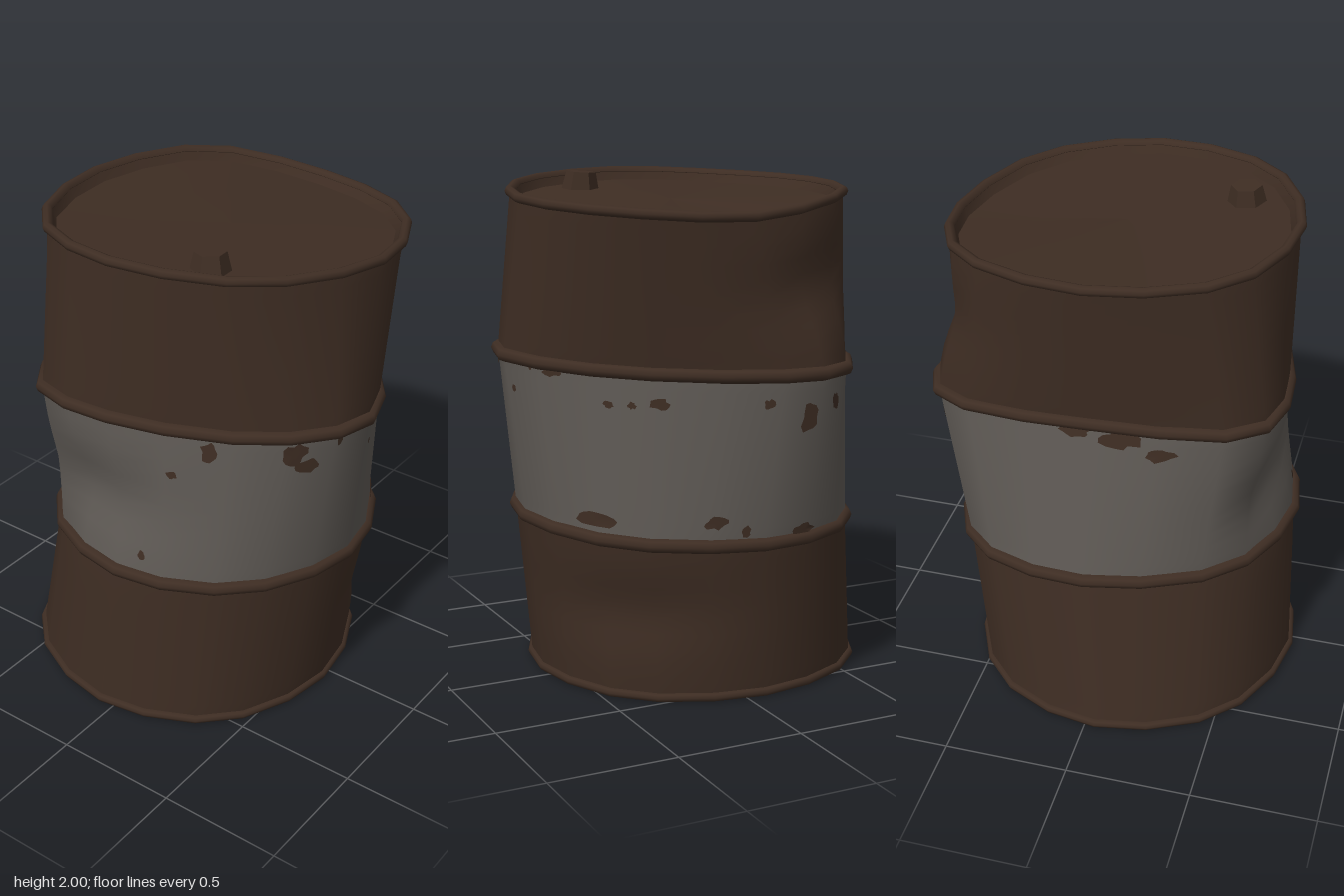
import * as THREE from 'three';
import { mergeGeometries } from 'three/addons/utils/BufferGeometryUtils.js';

const SIDES = 20;
const BASE = 0.018, LOWER = 0.657, UPPER = 1.305, TOP = 1.93;

// bent drum outline at four levels, in eight directions from the left side
// through the front: reach of the wall, and height of the edge
const LEVELS = [
  [BASE, [0.602, 0.582, 0.587, 0.662, 0.712, 0.749, 0.737, 0.689], Array(8).fill(BASE)],
  [LOWER, [0.653, 0.64, 0.663, 0.68, 0.683, 0.653, 0.623, 0.696],
    [0.625, 0.64, 0.665, 0.675, 0.68, 0.675, 0.66, 0.635]],
  [UPPER, [0.703, 0.606, 0.738, 0.66, 0.638, 0.7, 0.508, 0.733],
    [1.273, 1.285, 1.31, 1.325, 1.335, 1.335, 1.325, 1.285]],
  [TOP, [0.7, 0.727, 0.7, 0.653, 0.64, 0.647, 0.605, 0.673],
    [1.865, 1.885, 1.915, 1.955, 1.98, 1.965, 1.95, 1.925]],
].map(([v, reach, height]) => {
  // each point touches the line that bounds the outline in its direction
  const pts = reach.map((h, i) => {
    const a = (i * Math.PI) / 4, c = Math.cos(a), s = Math.sin(a);
    const t = (reach[(i + 1) % 8] - reach[(i + 7) % 8]) / Math.SQRT2;
    return new THREE.Vector3(h * c - t * s, height[i], h * s + t * c);
  });
  const curve = new THREE.CatmullRomCurve3(pts, true, 'catmullrom');
  return { v, corners: curve.getPoints(SIDES).slice(0, SIDES) };
});

// dents: angle, height, depth, angular spread, vertical spread
const DENTS = [
  [Math.PI + 0.22, 0.93, 0.085, 0.35, 0.17],
  [-0.4, 1.62, 0.055, 0.35, 0.15],
  [0.8, 0.36, 0.045, 0.4, 0.14],
];

// point on the faceted wall at an angle and height, moved outwards by offset
function wall(angle, v, offset = 0) {
  let i = 0;
  while (i < LEVELS.length - 2 && v > LEVELS[i + 1].v) i++;
  const lo = LEVELS[i], hi = LEVELS[i + 1];
  const u = (angle / (Math.PI * 2) + 1) * SIDES + 1e-6;
  const k = Math.floor(u);
  const along = ({ corners }) =>
    corners[k % SIDES].clone().lerp(corners[(k + 1) % SIDES], u - k);
  const p = along(lo).lerp(along(hi), (v - lo.v) / (hi.v - lo.v));
  let push = offset;
  for (const [da, dv, depth, wa, wv] of DENTS) {
    const d = Math.atan2(Math.sin(angle - da), Math.cos(angle - da));
    push -= depth * Math.exp(-((d / wa) ** 2) - ((v - dv) / wv) ** 2);
  }
  p.x += push * Math.cos(angle);
  p.z += push * Math.sin(angle);
  return p;
}

function build(pos, index) {
  const g = new THREE.BufferGeometry();
  g.setAttribute('position', new THREE.Float32BufferAttribute(pos, 3));
  g.setIndex(index);
  g.computeVertexNormals();
  return g;
}

// closed skin through rows of points; each row is a function of angle
function skin(rows) {
  const pos = [], index = [];
  rows.forEach((row, j) => {
    for (let i = 0; i < SIDES; i++) {
      pos.push(...row((i / SIDES) * Math.PI * 2).toArray());
      if (j === rows.length - 1) continue;
      const a = j * SIDES + i, b = j * SIDES + ((i + 1) % SIDES);
      index.push(a, a + SIDES, b, b, a + SIDES, b + SIDES);
    }
  });
  return build(pos, index);
}

function wallBand(from, to, steps = 10) {
  const rows = [];
  for (let j = 0; j <= steps; j++) {
    const v = from + ((to - from) * j) / steps;
    rows.push((a) => wall(a, v));
  }
  return skin(rows);
}

// rolled ring following the wall
function hoop(v, radius) {
  const rows = [];
  for (let j = 0; j <= 8; j++) {
    const t = (j / 8) * Math.PI * 2 - Math.PI;
    rows.push((a) => {
      const p = wall(a, v, radius * Math.cos(t));
      p.y += radius * Math.sin(t);
      return p;
    });
  }
  return skin(rows);
}

let seed = 7;
function rand() {
  seed = (seed * 16807) % 2147483647;
  return seed / 2147483647;
}

// irregular blob lying on the wall
function blob([deg, y, w, h]) {
  const a0 = THREE.MathUtils.degToRad(deg);
  const v0 = y + 0.03 * Math.cos(a0);
  const pos = wall(a0, v0, 0.006).toArray(), index = [];
  const n = 14;
  for (let i = 0; i < n; i++) {
    const t = (i / n) * Math.PI * 2, k = 0.7 + rand() * 0.55;
    const p = wall(a0 + (Math.cos(t) * w * k) / 0.65, v0 + Math.sin(t) * h * k, 0.006);
    pos.push(...p.toArray());
    index.push(0, 1 + i, 1 + ((i + 1) % n));
  }
  return build(pos, index);
}

// rust: angle in degrees (0 = left side, 90 = front), height, half width, half height
const RUST = [
  [150, 1.26, 0.025, 0.04], [123, 1.25, 0.05, 0.045], [117, 1.19, 0.05, 0.028],
  [106, 1.28, 0.02, 0.025], [86, 1.18, 0.012, 0.014], [76, 1.28, 0.015, 0.015],
  [67, 1.27, 0.04, 0.022], [49, 1.16, 0.018, 0.015], [42, 1.16, 0.014, 0.014],
  [34, 1.17, 0.028, 0.025], [4, 1.17, 0.018, 0.018],
  [-13, 1.11, 0.038, 0.058], [-28, 1.16, 0.024, 0.034], [-86, 1.27, 0.05, 0.025],
  [-98, 1.26, 0.06, 0.035], [-109, 1.22, 0.05, 0.032], [-55, 1.285, 0.02, 0.02],
  [160, 1.15, 0.018, 0.018], [170, 0.78, 0.016, 0.018], [55, 0.715, 0.075, 0.027],
  [17, 0.72, 0.04, 0.024], [7, 0.68, 0.016, 0.024], [-16, 0.665, 0.05, 0.024],
  [152, 0.695, 0.03, 0.015],
];

export function createModel() {
  const group = new THREE.Group();
  const rust = new THREE.MeshStandardMaterial({ color: 0x3e2d23 });
  rust.name = 'rustBrown';
  const paint = new THREE.MeshStandardMaterial({ color: 0x5f5a55 });
  paint.name = 'wornGrey';
  const add = (name, geometry, material = rust) => {
    const m = new THREE.Mesh(geometry, material);
    m.name = name;
    group.add(m);
    return m;
  };

  // wall in three bands
  add('lowerWall', wallBand(BASE, LOWER));
  add('middleWall', wallBand(LOWER, UPPER), paint);
  add('upperWall', wallBand(UPPER, TOP));

  // rolled rings and rims
  add('bottomRim', hoop(BASE, 0.018));
  add('lowerRing', hoop(LOWER, 0.027));
  add('upperRing', hoop(UPPER, 0.027));
  add('topRim', hoop(TOP, 0.02));

  // recessed lid and flat base
  const lidEdge = (a) => wall(a, TOP - 0.035, -0.035);
  const disc = (edge, centre, scales) =>
    skin(scales.map((s) => (a) => edge(a).lerp(centre, 1 - s)));
  add('lidInnerWall', skin([(a) => wall(a, TOP, -0.018), lidEdge]));
  add('lid', disc(lidEdge, new THREE.Vector3(0.03, 1.895, 0.05), [1, 0.5, 0]));
  add('base', disc((a) => wall(a, BASE), new THREE.Vector3(-0.055, BASE, -0.075), [0, 0.5, 1]));

  // six-sided filler cap
  const capShape = new THREE.CylinderGeometry(0.06, 0.077, 0.075, 6).toNonIndexed();
  capShape.computeVertexNormals();
  const cap = add('fillerCap', capShape);
  cap.position.set(-0.385, 1.953, 0.26);
  cap.rotation.set(0, 0.65, -0.07);

  // rust showing through the paint
  add('rustPatches', mergeGeometries(RUST.map(blob))).material.side = THREE.DoubleSide;
  return group;
}
